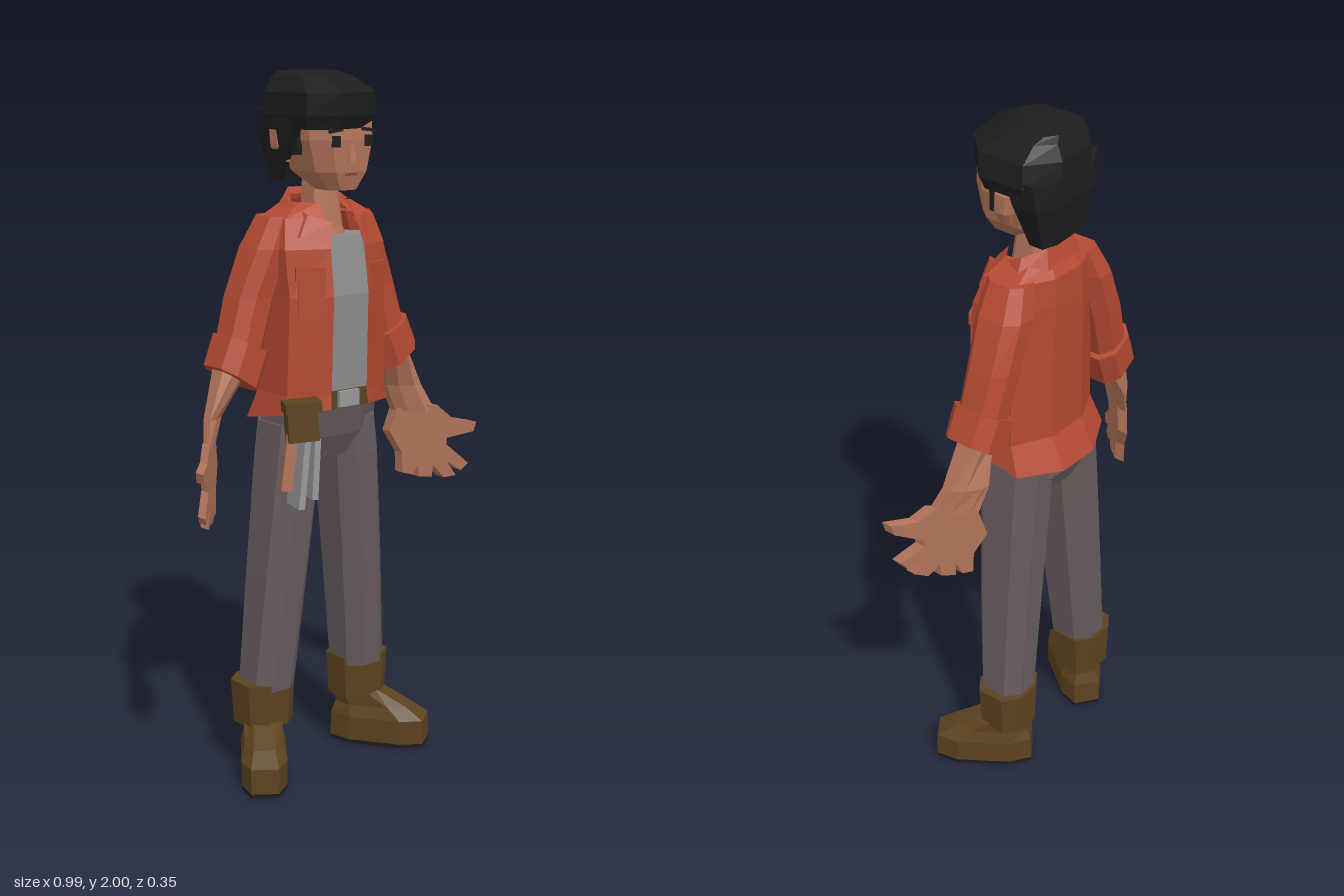
import * as THREE from 'three';

const mat = (name, color, open) => {
  const m = new THREE.MeshStandardMaterial({ color, flatShading: true });
  m.name = name;
  if (open) m.side = THREE.DoubleSide;
  return m;
};

// Octagonal ring; s = [x, y, z, halfWidth, halfDepth, frontFlat, tiltX, tiltZ]
function ring([x, y, z, rx, rz, k = 0.45, tx = 0, tz = 0]) {
  const j = 0.55;
  return [[1, j], [k, 1], [-k, 1], [-1, j], [-1, -j], [-k, -1], [k, -1], [1, -j]]
    .map(([a, b]) => [x + a * rx, y + tx * a * rx + tz * b * rz, z + b * rz]);
}

// Skin between rings listed bottom to top; an open loft has no front strip and no caps
function loft(sections, open = false) {
  const rings = sections.map(ring), pos = [], n = 8;
  const tri = (...p) => p.forEach(v => pos.push(...v));
  for (let r = 0; r < rings.length - 1; r++) {
    for (let i = 0; i < n; i++) {
      if (open && i === 1) continue;
      const a = rings[r][i], b = rings[r][(i + 1) % n];
      const c = rings[r + 1][i], d = rings[r + 1][(i + 1) % n];
      tri(a, c, b);
      tri(b, c, d);
    }
  }
  if (!open) {
    const lo = rings[0], hi = rings[rings.length - 1];
    for (let i = 1; i < n - 1; i++) {
      tri(lo[0], lo[i], lo[i + 1]);
      tri(hi[0], hi[i + 1], hi[i]);
    }
  }
  const g = new THREE.BufferGeometry();
  g.setAttribute('position', new THREE.Float32BufferAttribute(pos, 3));
  g.computeVertexNormals();
  return g;
}

// Shift each vertex in z by a rule
function shiftZ(geo, rule) {
  const p = geo.attributes.position;
  for (let i = 0; i < p.count; i++) {
    p.setZ(i, p.getZ(i) + rule(p.getX(i), p.getY(i), p.getZ(i)));
  }
  geo.computeVertexNormals();
  return geo;
}
// The lower arm turns gradually so that the thumb side points forward
const turnArm = (x, y) => (Math.abs(x) - 0.375) * 1.05 * THREE.MathUtils.clamp((1.21 - y) / 0.19, 0, 1);
// The hair is swept to one side
const sweep = (x, y, z) => -x * (z > 0 ? 0.25 : 0.1);

export function createModel() {
  const model = new THREE.Group();
  model.name = 'standingPerson';
  const skin = mat('skin', 0xb3745a);
  const hair = mat('black hair', 0x1d1d1e);
  const jacket = mat('rust jacket', 0xb54a33, true);
  const shirt = mat('grey shirt', 0x8a8c8e);
  const denim = mat('grey brown trousers', 0x665b5c);
  const leather = mat('brown leather', 0x5c421f);
  const metal = mat('pale metal', 0x97999b);
  const lips = mat('dark lips', 0x7c4636);

  const add = (name, geo, m, parent = model) => {
    const mesh = new THREE.Mesh(geo, m);
    mesh.name = name;
    parent.add(mesh);
    return mesh;
  };
  const box = (name, m, [w, h, d], [x, y, z], [rx, ry, rz] = [0, 0, 0], parent = model) => {
    const mesh = add(name, new THREE.BoxGeometry(w, h, d), m, parent);
    mesh.position.set(x, y, z);
    mesh.rotation.set(rx, ry, rz);
    return mesh;
  };

  // Head and neck
  add('head', loft([
    [0, 1.685, 0.05, 0.045, 0.055, 0.6], [0, 1.735, 0.02, 0.088, 0.098, 0.6],
    [0, 1.82, 0.01, 0.108, 0.112, 0.65], [0, 1.92, 0, 0.108, 0.115, 0.65],
  ]), skin);
  add('neck', loft([
    [0, 1.5, 0, 0.07, 0.075], [0, 1.58, -0.012, 0.05, 0.06], [0, 1.73, -0.02, 0.04, 0.045],
  ]), skin);
  add('nose', loft([[0, 1.76, 0.115, 0.012, 0.018], [0, 1.81, 0.115, 0.006, 0.009]]), skin);
  box('mouth', lips, [0.04, 0.007, 0.006], [0, 1.728, 0.117], [-0.1, 0, 0]);

  // Hair: crown with overhanging swept fringe, back and side locks
  add('hairCrown', shiftZ(loft([
    [0, 1.85, -0.008, 0.142, 0.135, 0.5], [0, 1.885, -0.003, 0.154, 0.148, 0.45],
    [-0.005, 1.945, 0.002, 0.148, 0.15, 0.45], [-0.01, 1.985, -0.03, 0.112, 0.1, 0.6],
    [-0.01, 2.0, -0.065, 0.082, 0.055, 0.6],
  ]), sweep), hair);
  add('hairBack', shiftZ(loft([
    [0, 1.71, -0.092, 0.1, 0.038, 0.55], [0, 1.83, -0.085, 0.144, 0.07, 0.55], [0, 1.9, -0.068, 0.15, 0.085, 0.55],
  ]), sweep), hair);
  add('hairSideLock', loft([
    [-0.118, 1.71, -0.06, 0.018, 0.02], [-0.125, 1.78, -0.04, 0.024, 0.045], [-0.13, 1.88, 0, 0.025, 0.07],
  ]), hair);

  // Torso: shirt under an open jacket with a standing collar
  add('shirt', loft([
    [0, 1.1, -0.01, 0.14, 0.105, 0.55], [0, 1.4, -0.005, 0.14, 0.112, 0.55],
    [0, 1.56, -0.02, 0.13, 0.095, 0.55],
  ]), shirt);
  add('jacketBody', loft([
    [0, 1.062, -0.03, 0.19, 0.145, 0.35, 0, 0.18], [0, 1.13, -0.01, 0.175, 0.122, 0.36],
    [0, 1.4, -0.006, 0.17, 0.126, 0.36], [0, 1.53, -0.014, 0.175, 0.118, 0.34],
    [0, 1.61, -0.03, 0.155, 0.1, 0.35], [0, 1.65, -0.035, 0.09, 0.07, 0.5],
  ], true), jacket);
  add('collar', loft([
    [0, 1.585, 0, 0.135, 0.115, 0.48, 0, -0.4], [0, 1.642, 0, 0.1, 0.098, 0.5, 0, -0.42],
    [0, 1.63, -0.005, 0.075, 0.085, 0.6, 0, -0.4],
  ], true), jacket);
  add('belt', loft([[0, 1.085, -0.005, 0.155, 0.108], [0, 1.135, -0.005, 0.155, 0.108]]), leather);
  box('buckle', metal, [0.07, 0.045, 0.012], [0, 1.112, 0.108]);
  add('hips', loft([
    [0, 0.935, -0.035, 0.1, 0.075], [0, 1.0, -0.035, 0.165, 0.105], [0, 1.09, -0.015, 0.155, 0.104],
  ]), denim);

  for (const s of [1, -1]) {
    const side = s > 0 ? 'left' : 'right';

    // Face details and ears
    box(side + 'Eye', hair, [0.028, 0.03, 0.006], [s * 0.056, 1.817, 0.121]);
    box(side + 'Brow', hair, [0.046, 0.009, 0.006], [s * 0.056, 1.846, 0.12], [0, 0, -s * 0.12]);
    add(side + 'Ear', loft([
      [s * 0.118, 1.76, -0.02, 0.012, 0.015], [s * 0.135, 1.8, -0.025, 0.018, 0.026],
      [s * 0.135, 1.85, -0.03, 0.018, 0.028],
    ]), skin);
    box(side + 'Sideburn', hair, [0.016, 0.1, 0.04], [s * 0.112, 1.83, 0.015]);

    // Chest pocket with flap
    box(side + 'Pocket', jacket, [0.075, 0.1, 0.008], [s * 0.118, 1.4, 0.094], [0, s * 0.48, 0]);
    box(side + 'PocketFlap', jacket, [0.085, 0.035, 0.01], [s * 0.12, 1.465, 0.093], [0, s * 0.45, 0]);

    // Sleeve, rolled cuff and forearm
    add(side + 'Sleeve', loft([
      [s * 0.265, 1.24, -0.05, 0.058, 0.062], [s * 0.215, 1.4, -0.058, 0.06, 0.068],
      [s * 0.168, 1.53, -0.052, 0.055, 0.075], [s * 0.132, 1.615, -0.045, 0.045, 0.06],
    ]), jacket);
    add(side + 'Cuff', loft([
      [s * 0.29, 1.18, -0.047, 0.06, 0.075, 0.5, s * 0.65],
      [s * 0.252, 1.272, -0.05, 0.062, 0.077, 0.5, s * 0.5],
    ]), jacket);
    add(side + 'Forearm', shiftZ(loft([
      [s * 0.372, 1.0, -0.033, 0.042, 0.02], [s * 0.342, 1.08, -0.035, 0.042, 0.028],
      [s * 0.285, 1.21, -0.05, 0.045, 0.045],
    ]), turnArm), skin);

    // Open hand with spread fingers
    const outline = [
      [0.335, 1.02], [0.415, 1.02], [0.445, 0.982], [0.495, 0.972], [0.49, 0.943], [0.435, 0.92],
      [0.435, 0.9], [0.48, 0.845], [0.465, 0.822], [0.436, 0.848], [0.455, 0.806], [0.43, 0.798],
      [0.408, 0.835], [0.405, 0.798], [0.378, 0.798], [0.377, 0.835], [0.366, 0.803], [0.345, 0.808],
      [0.343, 0.87], [0.317, 0.935],
    ].map(([x, y]) => new THREE.Vector2(s * x, y));
    const hand = new THREE.ExtrudeGeometry(new THREE.Shape(outline), { depth: 0.034, bevelEnabled: false });
    hand.translate(0, 0, -0.05);
    add(side + 'Hand', shiftZ(hand, turnArm), skin);

    // Trouser leg
    add(side + 'Leg', loft([
      [s * 0.17, 0.26, -0.055, 0.07, 0.073], [s * 0.139, 0.6, -0.043, 0.073, 0.088],
      [s * 0.106, 0.93, -0.034, 0.076, 0.1], [s * 0.098, 1.04, -0.034, 0.07, 0.1],
    ]), denim);

    // Boot: turned-out foot, shaft and folded top
    const boot = new THREE.Group();
    boot.name = side + 'Boot';
    boot.position.set(s * 0.18, 0, -0.06);
    boot.rotation.y = s * 0.62;
    model.add(boot);
    add('sole', loft([[0, 0, 0.07, 0.064, 0.143, 0.6], [0, 0.012, 0.07, 0.064, 0.143, 0.6]]), hair, boot);
    add('foot', loft([
      [0, 0.012, 0.07, 0.065, 0.144, 0.6], [0, 0.085, 0.07, 0.066, 0.142, 0.6],
      [0, 0.12, 0.05, 0.056, 0.11, 0.55], [0, 0.17, 0, 0.056, 0.06, 0.5],
    ]), leather, boot);
    add(side + 'BootTop', loft([
      [s * 0.178, 0.15, -0.062, 0.076, 0.074], [s * 0.178, 0.28, -0.062, 0.084, 0.077],
    ]), leather);
  }

  // Tool pouch on the right hip, with hanging blades and handle
  const tools = new THREE.Group();
  tools.name = 'toolPouch';
  tools.position.set(-0.17, 0, 0.108);
  tools.rotation.y = -0.45;
  model.add(tools);
  box('pouch', leather, [0.085, 0.1, 0.055], [0, 1.07, 0.015], [0, 0, 0.06], tools);
  box('pouchFlap', leather, [0.1, 0.03, 0.07], [0, 1.115, 0.015], [0, 0, 0.06], tools);
  box('handle', skin, [0.03, 0.16, 0.025], [-0.035, 0.96, 0.015], [0, 0, -0.12], tools);
  box('frontBlade', metal, [0.018, 0.19, 0.085], [-0.005, 0.925, 0], [0, 0.2, -0.1], tools);
  box('backBlade', metal, [0.018, 0.17, 0.075], [0.03, 0.94, 0], [0, 0.2, -0.05], tools);

  return model;
}
